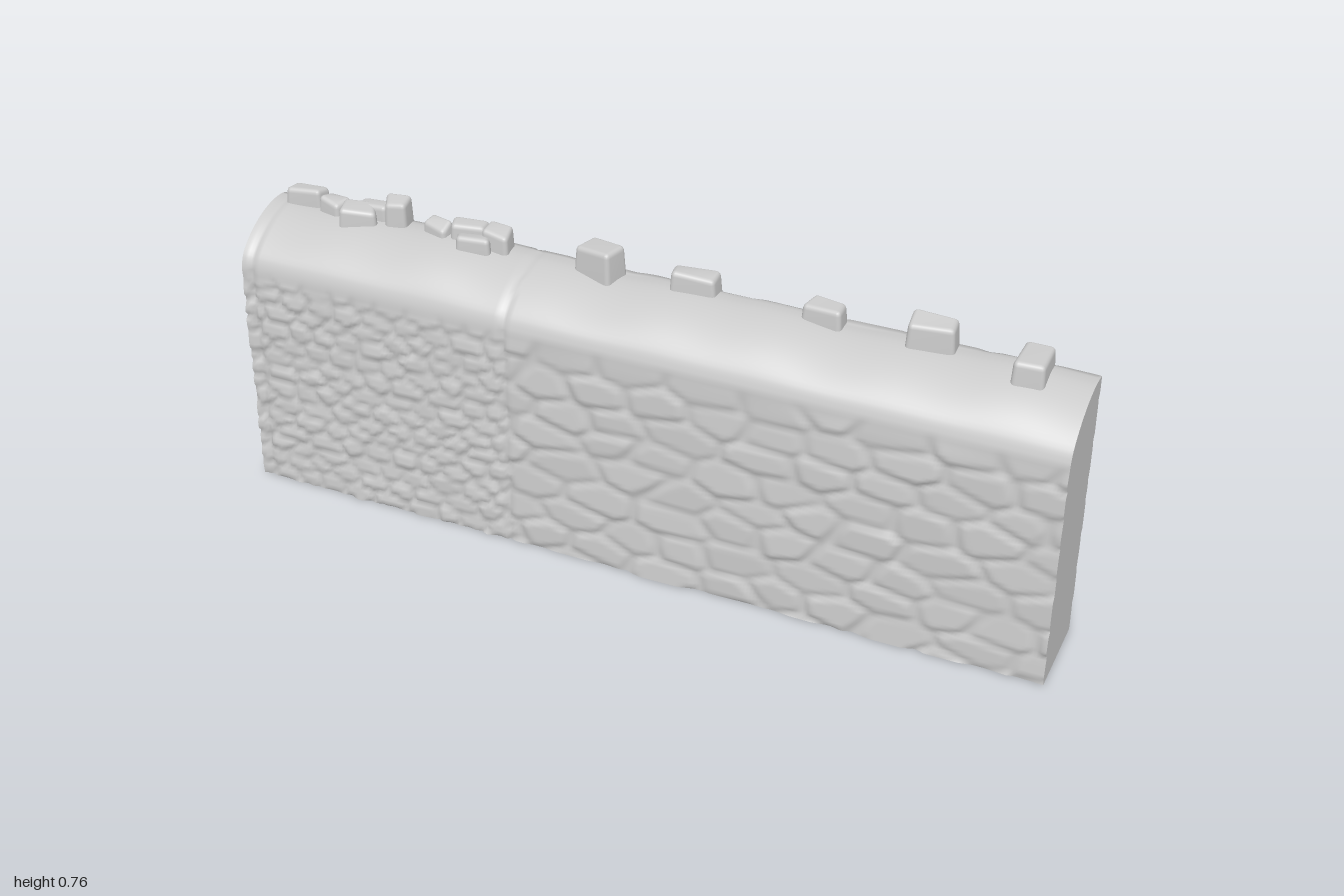
import * as THREE from 'three';
import { RoundedBoxGeometry } from 'three/addons/geometries/RoundedBoxGeometry.js';
import { mergeVertices } from 'three/addons/utils/BufferGeometryUtils.js';

const material = new THREE.MeshStandardMaterial({ color: 0xcccccc });
const COLS = 260, ROWS = 140, SEAM = -0.315;
const { smoothstep, clamp, lerp } = THREE.MathUtils;

// repeatable 0..1 value for a pair of numbers
function hash(a, b, k = 0) {
  const s = Math.sin(a * 127.1 + b * 311.7 + k * 74.7) * 43758.5453;
  return s - Math.floor(s);
}

// relief of rough masonry laid in courses: 0 in the joints, about 1 on the stones
function masonry(x, y, width, height, seed) {
  const u = x / width, v = y / height;
  const row = Math.floor(v);
  let first = 9, second = 9, level = 0;
  for (let j = row - 1; j <= row + 1; j++) {
    const shift = (j & 1) * 0.5;
    const col = Math.floor(u - shift);
    for (let i = col - 1; i <= col + 1; i++) {
      const dx = u - (i + shift + 0.5 + (hash(i, j, seed) - 0.5) * 0.6);
      const dy = v - (j + 0.5 + (hash(i, j, seed + 1) - 0.5) * 0.5);
      const d = Math.hypot(dx, dy);
      if (d < first) {
        second = first;
        first = d;
        // each stone has its own height and tilt
        level = 0.55 + 0.45 * hash(i, j, seed + 2)
          + dx * (hash(i, j, seed + 3) - 0.5) + dy * (hash(i, j, seed + 4) - 0.8);
      } else if (d < second) second = d;
    }
  }
  return smoothstep(second - first, 0, 0.3) * level;
}

// outline from the front foot, over the rounded top, to the back foot
const roof = new THREE.CatmullRomCurve3([
  [0.101, 0.59], [0.088, 0.622], [0.055, 0.654], [0.005, 0.68], [-0.055, 0.693], [-0.103, 0.69],
].map(([z, y]) => new THREE.Vector3(0, y, z)));

function outline(t) {
  if (t < 0.43) return { z: 0.101, y: 0.59 * t / 0.43, side: 1 };
  if (t > 0.57) return { z: -0.103, y: 0.69 * (1 - t) / 0.43, side: -1 };
  const p = roof.getPoint((t - 0.43) / 0.14);
  return { z: p.z, y: p.y, side: 0 };
}

function wallSurface() {
  const geo = new THREE.PlaneGeometry(2, 1, COLS, ROWS);
  const pos = geo.attributes.position;
  for (let k = 0; k < pos.count; k++) {
    let x = pos.getX(k);
    const p = outline(clamp(pos.getY(k) + 0.5, 0, 1));
    const old = x < SEAM + 0.008 * Math.sin(p.y * 40);
    let { y, z } = p;
    if (p.side > 0) {
      const fade = 1 - smoothstep(y, 0.54, 0.59);
      const relief = old ? masonry(x, y, 0.075, 0.042, 3) : masonry(x, y, 0.15, 0.075, 11);
      z += 0.009 * lerp(0.4, relief, fade);
    } else if (p.side < 0) {
      const relief = old && y > 0.22 ? masonry(x, y, 0.09, 0.06, 21) : masonry(x, y, 0.16, 0.088, 31);
      z -= 0.008 * relief;
    } else {
      // gentle sag along the rounded top
      const rise = smoothstep(y, 0.6, 0.68);
      y += rise * 0.004 * (Math.sin(x * 9) + 0.6 * Math.sin(x * 23 + 1));
      z += 0.0036 * (1 - rise);
    }
    // narrow joints that frame the older section
    if (p.side >= 0) {
      const gap = Math.min(Math.abs(x - SEAM), Math.abs(x + 0.975));
      const joint = 1 - smoothstep(gap, 0.003, 0.012);
      z -= 0.006 * joint * (p.side ? 1 : 0.5);
      if (!p.side) y -= 0.004 * joint;
      if (old && !p.side) y += 0.003;
    }
    pos.setXYZ(k, x, y, z);
  }
  geo.computeVertexNormals();
  return geo;
}

// flat face that closes an open edge
function flatFace(points) {
  return new THREE.ShapeGeometry(new THREE.Shape(points));
}

function stone(width, height, depth, seed) {
  let geo = new RoundedBoxGeometry(width, height, depth, 2, 0.012);
  geo.deleteAttribute('uv');
  geo.deleteAttribute('normal');
  geo = mergeVertices(geo, 1e-4);
  const pos = geo.attributes.position;
  for (let k = 0; k < pos.count; k++) {
    const x = pos.getX(k), y = pos.getY(k), z = pos.getZ(k);
    const taper = 1 - 0.12 * (y / height + 0.5);
    const cx = Math.sign(x), cz = Math.sign(z);
    pos.setXYZ(k,
      x * taper + (hash(cx, cz, seed) - 0.5) * 0.012,
      y + (y > 0 ? (hash(cx, cz, seed + 1) - 0.7) * 0.012 : 0),
      z * taper);
  }
  geo.computeVertexNormals();
  return geo;
}

export function createModel() {
  const model = new THREE.Group();
  const add = (name, geo) => {
    const mesh = new THREE.Mesh(geo, material);
    mesh.name = name;
    model.add(mesh);
    return mesh;
  };

  const surface = wallSurface();
  add('stoneWall', surface);

  // ends and underside follow the rough edges of the wall
  const pos = surface.attributes.position;
  const at = (row, col) => new THREE.Vector3().fromBufferAttribute(pos, row * (COLS + 1) + col);
  for (const side of [-1, 1]) {
    const ring = [];
    for (let r = 0; r <= ROWS; r++) {
      const p = at(r, side < 0 ? 0 : COLS);
      ring.push(new THREE.Vector2(-side * p.z, p.y));
    }
    const end = add(side < 0 ? 'rightEnd' : 'leftEnd', flatFace(ring));
    end.rotation.y = side * Math.PI / 2;
    end.position.x = side;
  }
  const foot = [];
  for (let c = 0; c <= COLS; c++) foot.push(at(ROWS, c));
  for (let c = COLS; c >= 0; c--) foot.push(at(0, c));
  add('underside', flatFace(foot.map((p) => new THREE.Vector2(p.x, p.z)))).rotation.x = Math.PI / 2;

  // top stones: x from, x to, top, z back, z front, yaw
  const topStones = [
    [-0.97, -0.87, 0.738, -0.108, -0.06, 0.1],
    [-0.88, -0.8, 0.728, -0.1, -0.045, -0.25],
    [-0.81, -0.72, 0.734, -0.085, -0.02, 0.35],
    [-0.78, -0.7, 0.73, -0.108, -0.06, 0],
    [-0.705, -0.64, 0.757, -0.108, -0.05, 0.15],
    [-0.6, -0.52, 0.73, -0.09, -0.045, -0.3],
    [-0.53, -0.44, 0.74, -0.1, -0.05, 0.2],
    [-0.5, -0.41, 0.728, -0.065, -0.018, 0.1],
    [-0.44, -0.37, 0.742, -0.1, -0.04, -0.1],
    [-0.2, -0.09, 0.757, -0.108, -0.035, -0.3],
    [0.02, 0.14, 0.742, -0.11, -0.05, 0.1],
    [0.34, 0.44, 0.738, -0.11, -0.05, -0.1],
    [0.58, 0.69, 0.757, -0.11, -0.045, 0.12],
    [0.83, 0.9, 0.742, -0.11, 0.003, 0.08],
  ];
  topStones.forEach(([x0, x1, top, z0, z1, yaw], i) => {
    const height = top - 0.655;
    const mesh = add('topStone' + (i + 1), stone(x1 - x0, height, z1 - z0, i * 5));
    mesh.position.set((x0 + x1) / 2, 0.655 + height / 2, (z0 + z1) / 2);
    mesh.rotation.y = yaw;
  });

  return model;
}
